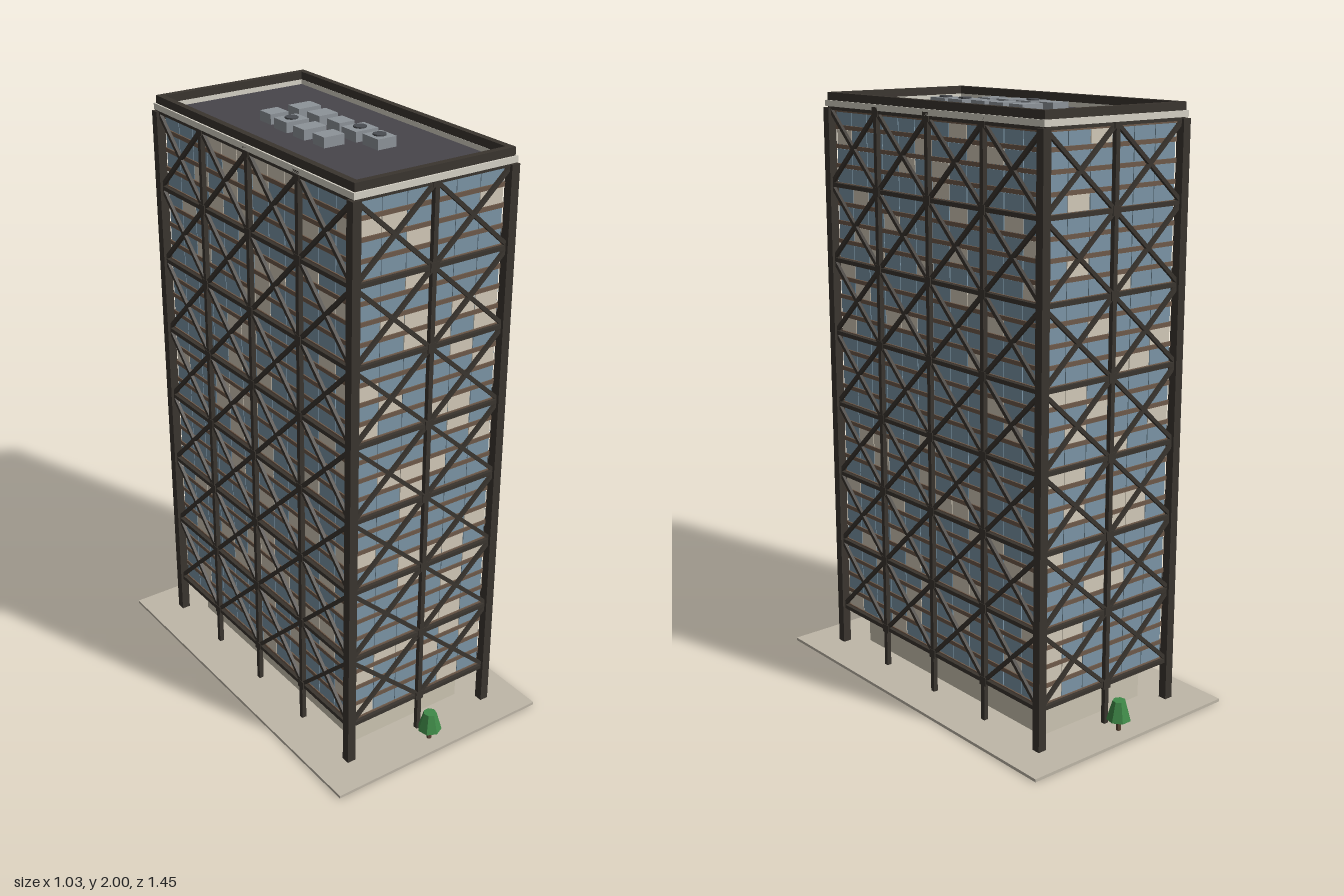
import * as THREE from 'three';
import { mergeGeometries } from 'three/addons/utils/BufferGeometryUtils.js';

const mat = (color) => new THREE.MeshStandardMaterial({ color, flatShading: true });
const STEEL = mat(0x3a352f), GLASS = mat(0x7b95a6), BLIND = mat(0xd2c9b8), BAND = mat(0x6e5a4a);
const STONE = mat(0xbfb7a8), LOBBY = mat(0xccc5b2), ROOF = mat(0x47454b), TRIM = mat(0xd6d2c6);
const UNIT = mat(0x8d9399), FAN = mat(0x4a4d52), LEAF = mat(0x3f8a48), BARK = mat(0x5b4636), FLOOR = mat(0x3a4653);

const BASE = 0.15, TOP = 1.95, MODULES = 7, FLOORS = 28;
const MOD_H = (TOP - BASE) / MODULES, FLOOR_H = (TOP - BASE) / FLOORS;
const FRAME = { x: 0.286, z: 0.541 }; // half-size of the outer steel frame
const BODY = { x: 0.268, z: 0.523 };  // half-size of the glazed body

function box(w, h, d, x = 0, y = 0, z = 0) {
  return new THREE.BoxGeometry(w, h, d).translate(x, y, z);
}

export function createModel() {
  const model = new THREE.Group();
  model.name = 'tower';
  model.rotation.y = THREE.MathUtils.degToRad(9);

  const add = (name, geometry, material) => {
    const mesh = new THREE.Mesh(Array.isArray(geometry) ? mergeGeometries(geometry) : geometry, material);
    mesh.name = name;
    model.add(mesh);
    return mesh;
  };

  // Rectangular ring of four bars, measured by its outer half-sizes
  const ring = (a, b, t, y0, y1) => {
    const h = y1 - y0, y = (y0 + y1) / 2, parts = [];
    for (const s of [-1, 1]) {
      parts.push(box(2 * a, h, t, 0, y, s * (b - t / 2)));
      parts.push(box(t, h, 2 * (b - t), s * (a - t / 2), y, 0));
    }
    return parts;
  };

  let seed = 17;
  const random = () => (seed = (seed * 16807) % 2147483647) / 2147483647;

  // Ground and lobby
  add('plaza', box(0.83, 0.01, 1.34, 0, 0.006, 0), STONE);
  add('lobby', box(0.436, 0.14, 0.954, 0, 0.08, 0), LOBBY);
  add('lobbyFloor', box(0.436, 0.004, 0.954, 0, 0.002, 0), FLOOR);

  // Glazed body
  add('glassBody', box(2 * BODY.x, TOP - 0.14, 2 * BODY.z, 0, (TOP + 0.14) / 2, 0), GLASS);

  // The four facades, each drawn facing +z and then turned into place
  const facades = [
    { half: 'x', out: 'z', bays: 2, turn: 0 },
    { half: 'z', out: 'x', bays: 4, turn: Math.PI / 2 },
    { half: 'x', out: 'z', bays: 2, turn: Math.PI },
    { half: 'z', out: 'x', bays: 4, turn: -Math.PI / 2 },
  ];
  const clear = [], blinds = [], columns = [], beams = [], braces = [], gussets = [];
  for (const { half, out, bays, turn } of facades) {
    const put = (list, geometry) => list.push(geometry.rotateY(turn));
    const w = FRAME[half], plane = FRAME[out], bay = (2 * w) / bays;

    // Window panes, some with drawn blinds
    const panes = bays * 3, paneW = (2 * BODY[half]) / panes;
    for (let f = 0; f < FLOORS; f++) {
      for (let i = 0; i < panes; i++) {
        const x = -BODY[half] + (i + 0.5) * paneW;
        const y = BASE + (f + 0.5) * FLOOR_H;
        put(random() < 0.2 ? blinds : clear,
          box(paneW - 0.003, FLOOR_H - 0.016, 0.004, x, y, BODY[out] + 0.001));
      }
    }

    // Slender columns between the bays
    for (let i = 1; i < bays; i++) {
      put(columns, box(0.016, TOP, 0.016, -w + i * bay, TOP / 2, plane));
    }

    // Horizontal beams and crossed diagonals
    for (let m = 0; m <= MODULES; m++) {
      const y = BASE + m * MOD_H;
      put(beams, box(2 * w, 0.014, 0.012, 0, y, plane));
      for (let i = 1; i < bays; i++) {
        put(gussets, box(0.03, 0.03, 0.018, -w + i * bay, y, plane));
      }
      if (m === MODULES) continue;
      for (let i = 0; i < bays; i++) {
        for (const s of [-1, 1]) {
          const bar = box(Math.hypot(bay, MOD_H), 0.013, 0.011);
          bar.rotateZ(s * Math.atan2(MOD_H, bay));
          put(braces, bar.translate(-w + (i + 0.5) * bay, y + MOD_H / 2, plane));
        }
      }
    }
  }
  add('windows', clear, GLASS);
  add('windowBlinds', blinds, BLIND);
  add('slenderColumns', columns, STEEL);
  add('beams', beams, STEEL);
  add('crossBraces', braces, STEEL);
  add('gussetPlates', gussets, STEEL);

  // Spandrel band at every floor
  const bands = [];
  for (let f = 0; f <= FLOORS; f++) {
    const y = Math.min(BASE + f * FLOOR_H, TOP - 0.007);
    bands.push(box(2 * BODY.x + 0.012, 0.014, 2 * BODY.z + 0.012, 0, y, 0));
  }
  add('floorBands', bands, BAND);

  // Corner columns
  const corners = [];
  for (const sx of [-1, 1]) for (const sz of [-1, 1]) {
    corners.push(box(0.03, TOP, 0.03, sx * FRAME.x, TOP / 2, sz * FRAME.z));
  }
  add('cornerColumns', corners, STEEL);

  // Roof deck, cornice and parapet
  add('roofDeck', box(0.55, 0.01, 1.06, 0, 1.953, 0), ROOF);
  add('cornice', ring(0.295, 0.553, 0.029, 1.954, 1.974), TRIM);
  add('parapet', ring(0.289, 0.547, 0.022, 1.974, 2.0), STEEL);

  // Rooftop machinery: x, z, width, depth, has fan
  const units = [
    [-0.059, -0.2, 0.066, 0.062, 0], [0.057, -0.2, 0.084, 0.062, 0],
    [-0.06, -0.1, 0.084, 0.07, 1], [0.057, -0.1, 0.072, 0.068, 0],
    [-0.06, 0, 0.084, 0.06, 0], [0.056, 0, 0.058, 0.066, 0],
    [-0.06, 0.1, 0.075, 0.06, 0], [0.056, 0.1, 0.084, 0.074, 1],
    [0.056, 0.2, 0.07, 0.076, 1],
  ];
  const cases = [], fans = [];
  for (const [x, z, w, d, fan] of units) {
    cases.push(box(w, 0.034, d, x, 1.974, z));
    if (fan) fans.push(new THREE.CylinderGeometry(0.021, 0.021, 0.006, 12).translate(x, 1.993, z));
  }
  add('rooftopUnits', cases, UNIT);
  add('rooftopFans', fans, FAN);

  // A small tree at each end of the plaza
  for (const s of [-1, 1]) {
    const tree = new THREE.Group();
    tree.name = s > 0 ? 'frontTree' : 'backTree';
    const trunk = new THREE.Mesh(new THREE.CylinderGeometry(0.007, 0.009, 0.045, 6), BARK);
    trunk.name = 'trunk';
    trunk.position.y = 0.032;
    const crown = new THREE.Mesh(new THREE.CylinderGeometry(0.022, 0.041, 0.066, 7), LEAF);
    crown.name = 'crown';
    crown.position.y = 0.083;
    tree.add(trunk, crown);
    tree.position.set(0, 0, s * 0.607);
    model.add(tree);
  }

  const root = new THREE.Group();
  root.name = 'building';
  root.add(model);
  return root;
}
